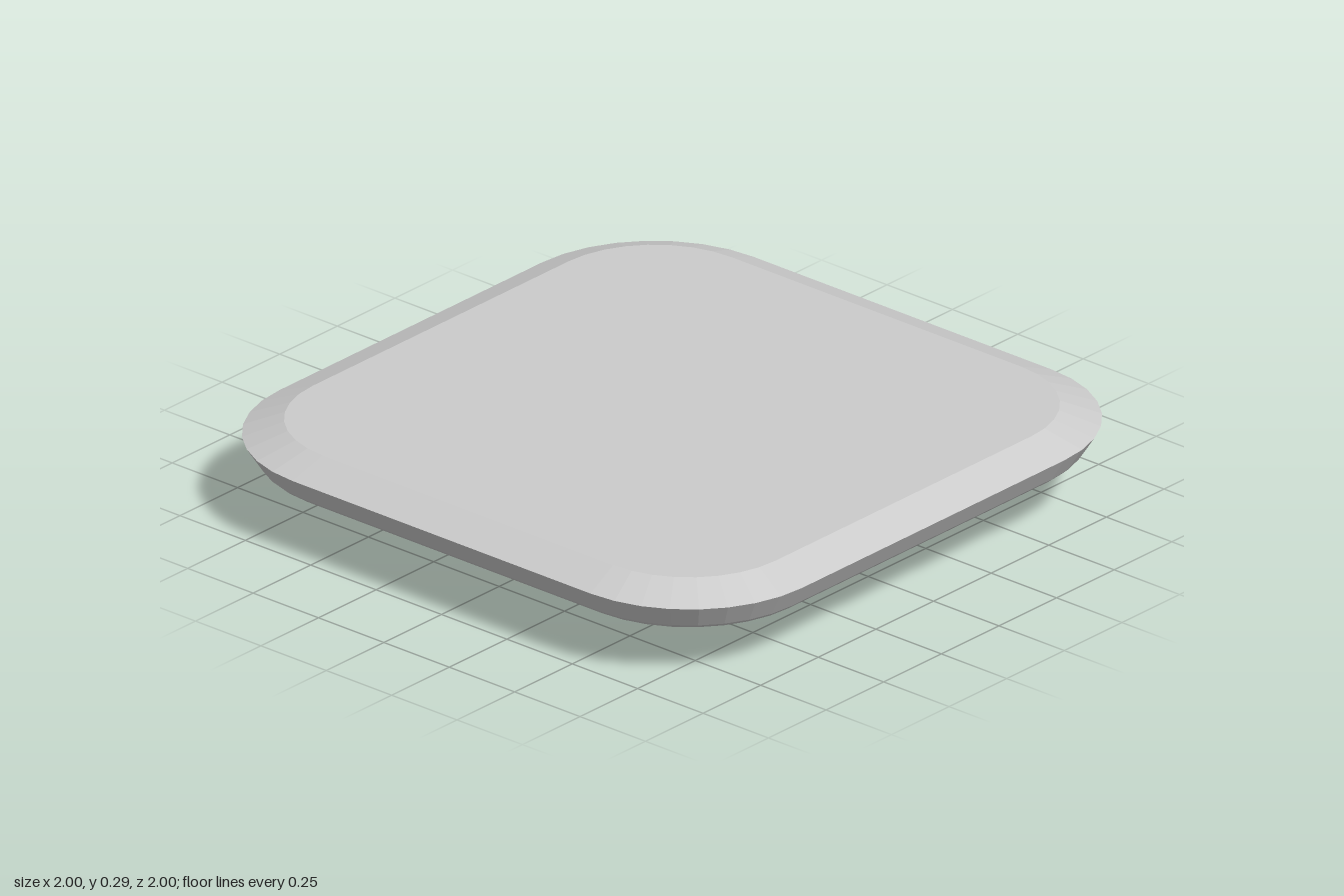
import * as THREE from 'three';

const STEPS = 8; // facets per rounded corner

// Outline of a rounded square: half width, corner radius, height
function ring([half, radius, y]) {
  const points = [];
  const c = half - radius;
  for (let corner = 0; corner < 4; corner++) {
    const sx = corner === 0 || corner === 3 ? 1 : -1;
    const sz = corner < 2 ? 1 : -1;
    for (let i = 0; i <= STEPS; i++) {
      const a = (corner + i / STEPS) * Math.PI / 2;
      points.push(new THREE.Vector3(sx * c + radius * Math.cos(a), y, sz * c + radius * Math.sin(a)));
    }
  }
  return points;
}

// Skin joining successive outlines, leaving out empty triangles
function loft(name, sections, material) {
  const rings = sections.map(ring);
  const points = [];
  const add = (a, b, c) => {
    if (new THREE.Triangle(a, b, c).getArea() > 1e-8) points.push(a, b, c);
  };
  for (let k = 0; k + 1 < rings.length; k++) {
    const A = rings[k], B = rings[k + 1];
    for (let j = 0; j < A.length; j++) {
      const n = (j + 1) % A.length;
      add(A[j], A[n], B[j]);
      add(A[n], B[n], B[j]);
    }
  }
  const geometry = new THREE.BufferGeometry().setFromPoints(points);
  geometry.computeVertexNormals();
  const mesh = new THREE.Mesh(geometry, material);
  mesh.name = name;
  return mesh;
}

export function createModel() {
  const group = new THREE.Group();
  group.name = 'squarePlate';
  const material = new THREE.MeshStandardMaterial({ color: 0xcccccc, flatShading: true });

  // Flat top, bevelled rim and shallow sloping underside
  group.add(loft('plate', [
    [0, 0, 0.29], [0.885, 0.33, 0.29], [1, 0.43, 0.245],
    [0.955, 0.39, 0.172], [0.942, 0.38, 0.16], [0.925, 0.37, 0.152], [0.9, 0.35, 0.147],
    [0.625, 0.43, 0.112],
  ], material));

  // Foot with a fillet under the plate and a softened lower edge
  group.add(loft('foot', [
    [0.625, 0.43, 0.112], [0.602, 0.42, 0.107], [0.587, 0.41, 0.098], [0.58, 0.4, 0.083],
    [0.58, 0.4, 0.02], [0.576, 0.4, 0.007], [0.565, 0.39, 0], [0.47, 0.47, 0],
  ], material));

  // Round recess in the bottom of the foot
  group.add(loft('footRecess', [[0.47, 0.47, 0], [0.47, 0.47, 0.045], [0, 0, 0.045]], material));

  return group;
}
